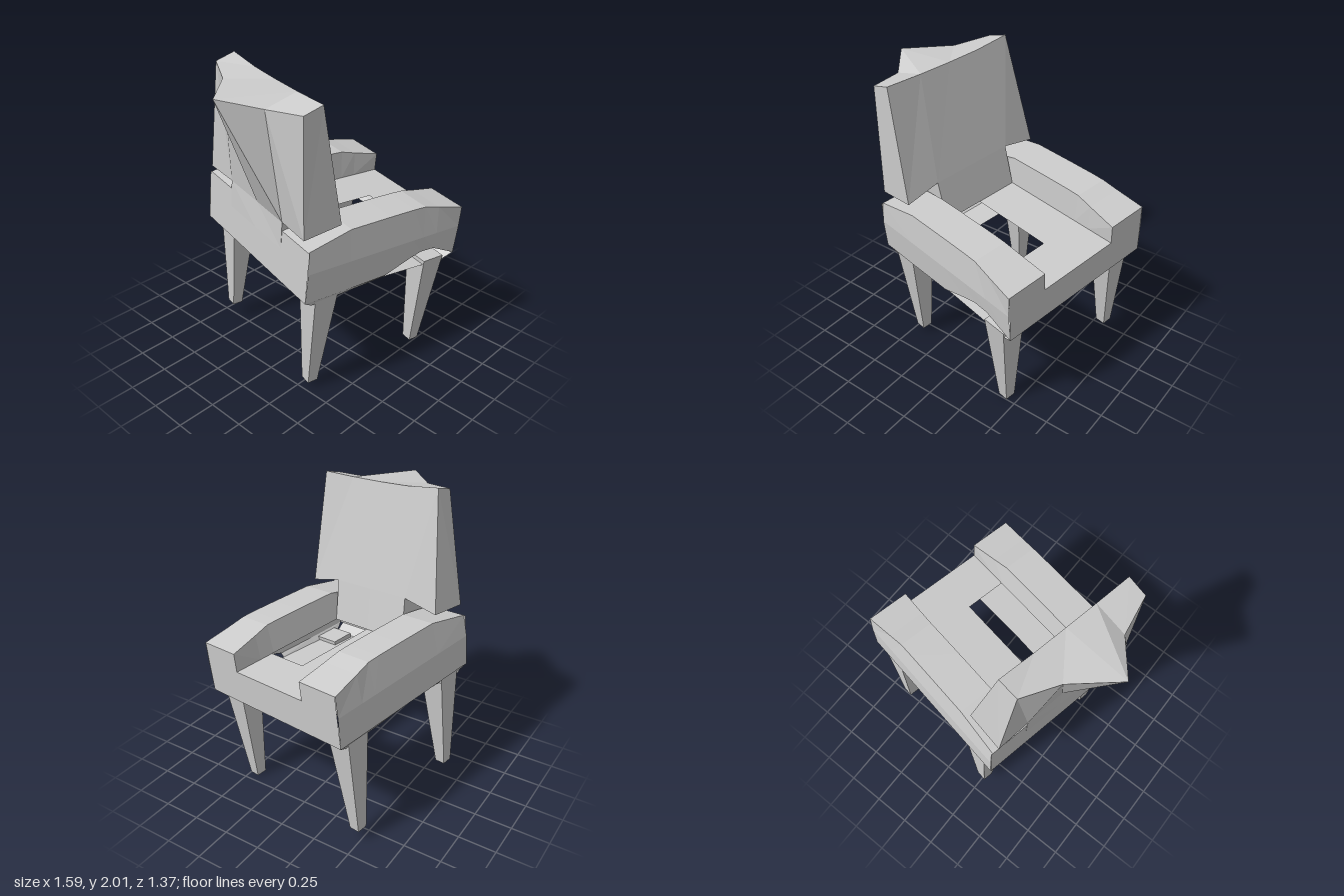
import * as THREE from 'three';

const material = new THREE.MeshStandardMaterial({
  color: 0xcccccc, flatShading: true, side: THREE.DoubleSide,
});

// Chair axes: x forward, y up, z across, centred between the arms.
const CENTRE = -0.105;

// Faceted sheet through rows of [x, y, z] points.
function sheet(name, rows) {
  const p = [];
  for (let i = 0; i + 1 < rows.length; i++) {
    for (let j = 0; j + 1 < rows[i].length; j++) {
      const a = rows[i][j], b = rows[i][j + 1], c = rows[i + 1][j + 1], d = rows[i + 1][j];
      p.push(...a, ...b, ...c, ...a, ...c, ...d);
    }
  }
  const g = new THREE.BufferGeometry();
  g.setAttribute('position', new THREE.Float32BufferAttribute(p, 3));
  g.computeVertexNormals();
  const mesh = new THREE.Mesh(g, material);
  mesh.name = name;
  return mesh;
}

// Arm stations: x, inner z, outer z, top height, lower edge of the notched right wall.
const ARM = [
  [-0.545, 0.29, 0.56, 1.11, 0.765],
  [-0.24, 0.315, 0.55, 1.175, 0.765],
  [0.06, 0.315, 0.55, 1.178, 0.77],
  [0.25, 0.315, 0.55, 1.178, 0.835],
  [0.34, 0.315, 0.55, 1.175, 0.86],
  [0.45, 0.306, 0.559, 1.15, 0.855],
  [0.645, 0.29, 0.575, 1.11, 0.765],
];

function arm(name, side) {
  return sheet(name, ARM.map(([x, inner, outer, top, low]) => [
    [x, 0.985, side * 0.29],
    [x, top, side * inner],
    [x, top, side * outer],
    [x, 0.97, side * 0.578],
    [x, side > 0 ? low : 0.765, side * 0.572],
  ]));
}

// End wall with a U-shaped dip between the arms.
function endWall(name, x) {
  const z = [-0.572, -0.29, -0.29, 0.29, 0.29, 0.572];
  const top = [1.11, 1.11, 0.985, 0.985, 1.11, 1.11];
  return sheet(name, [z.map((v, i) => [x, top[i], v]), z.map((v) => [x, 0.765, v])]);
}

function addLegs(parent) {
  for (const x of [-0.377, 0.487]) {
    for (const z of [-0.475, 0.475]) {
      const g = new THREE.CylinderGeometry(0.117, 0.05, 0.7, 4);
      g.rotateY(Math.PI / 4);
      const leg = new THREE.Mesh(g, material);
      leg.name = x > 0 ? 'frontLeg' : 'backLeg';
      leg.position.set(x, 0.405, z);
      parent.add(leg);
    }
  }
}

function addBackrest(parent) {
  const zBottom = [-0.527, -0.29, 0, 0.29, 0.527];
  const zTop = [-0.464, -0.22, 0, 0.22, 0.464];
  const row = (xs, ys, zs) => zs.map((z, i) => [xs[i], ys[i], z]);
  const same = (v) => Array(5).fill(v);

  // Ridge at the rear top runs out to a point.
  const backTop = row([-0.59, -0.675, -0.883, -0.675, -0.59],
    [1.905, 1.888, 1.89, 1.868, 1.905], [-0.45, -0.215, 0.05, 0.235, 0.47]);
  const frontTop = row(same(-0.46), [1.945, 1.928, 1.928, 1.933, 1.945], zTop);
  const frontBottom = row(same(-0.3), [1.2, 1.256, 1.256, 1.256, 1.21], zBottom);
  const backBottom = row([-0.56, -0.55, -0.54, -0.55, -0.56],
    [1.17, 1.17, 1.16, 1.17, 1.175], zBottom);

  parent.add(sheet('backrestFront', [frontTop, frontBottom]));
  parent.add(sheet('backrestRear', [backTop, backBottom]));
  parent.add(sheet('backrestTop', [backTop, frontTop]));

  // Closed sides and the undersides overhanging the arms.
  for (const i of [0, 4]) {
    parent.add(sheet('backrestSide',
      [[frontTop[i], backTop[i]], [frontBottom[i], backBottom[i]]]));
    const j = i === 0 ? 1 : 3;
    parent.add(sheet('backrestUnderside',
      [[frontBottom[i], frontBottom[j]], [backBottom[i], backBottom[j]]]));
    // Side of the column joining backrest and seat
    parent.add(sheet('columnSide', [
      [frontBottom[j], backBottom[j]],
      [[-0.24, 0.985, zBottom[j]], [-0.545, 0.985, zBottom[j]]],
    ]));
  }
  const middle = (points) => points.slice(1, 4);
  parent.add(sheet('columnFront',
    [middle(frontBottom), middle(row(same(-0.24), same(0.985), zBottom))]));
  parent.add(sheet('columnRear',
    [middle(backBottom), middle(row(same(-0.545), same(0.985), zBottom))]));
}

function addUnderside(parent) {
  // Open base: right strip, back strip and chamfers around the edge
  const profile = [[-0.545, 0.765], [-0.48, 0.72], [0.06, 0.745], [0.575, 0.718]];
  parent.add(sheet('rightBaseStrip', profile.map(([x, y]) => [[x, y, 0.19], [x, y, 0.55]])));
  parent.add(sheet('backBaseStrip', [[-0.545, 0.765], [-0.48, 0.72], [-0.29, 0.73]]
    .map(([x, y]) => [[x, y, -0.55], [x, y, 0.19]])));
  parent.add(sheet('frontChamfer', [
    [[0.645, 0.765, -0.572], [0.645, 0.765, 0], [0.645, 0.765, 0.572]],
    [[0.575, 0.72, -0.54], [0.575, 0.745, 0], [0.575, 0.718, 0.55]],
  ]));
  parent.add(sheet('rightChamfer', [
    [[-0.545, 0.765, 0.572], [-0.24, 0.765, 0.572], [0.06, 0.77, 0.572]],
    [[-0.48, 0.72, 0.55], [-0.24, 0.731, 0.55], [0.06, 0.745, 0.55]],
  ]));
  parent.add(sheet('leftChamfer', [
    [[-0.545, 0.765, -0.572], [0.06, 0.765, -0.572], [0.645, 0.765, -0.572]],
    [[-0.48, 0.72, -0.54], [0.06, 0.75, -0.54], [0.575, 0.72, -0.54]],
  ]));
}

export function createModel() {
  const chair = new THREE.Group();
  chair.name = 'chair';

  chair.add(arm('leftArm', -1), arm('rightArm', 1));
  chair.add(endWall('frontWall', 0.645), endWall('backWall', -0.545));

  // L-shaped seat, open beside the right arm
  const y = 0.985;
  chair.add(sheet('seatLeft',
    [[[-0.24, y, -0.29], [-0.24, y, 0.008]], [[0.645, y, -0.29], [0.645, y, 0.008]]]));
  chair.add(sheet('seatFront',
    [[[0.355, y, 0.008], [0.355, y, 0.29]], [[0.645, y, 0.008], [0.645, y, 0.29]]]));

  addBackrest(chair);
  addUnderside(chair);
  addLegs(chair);

  // The whole chair is turned and leans slightly.
  const forward = new THREE.Vector3(0.981, -0.046, 0.185).normalize();
  const across = new THREE.Vector3(-0.19, -0.084, 0.978);
  const up = across.clone().cross(forward).normalize();
  across.crossVectors(forward, up);
  chair.quaternion.setFromRotationMatrix(new THREE.Matrix4().makeBasis(forward, up, across));
  chair.position.copy(across).multiplyScalar(CENTRE);

  const model = new THREE.Group();
  model.name = 'model';
  model.add(chair);
  return model;
}
